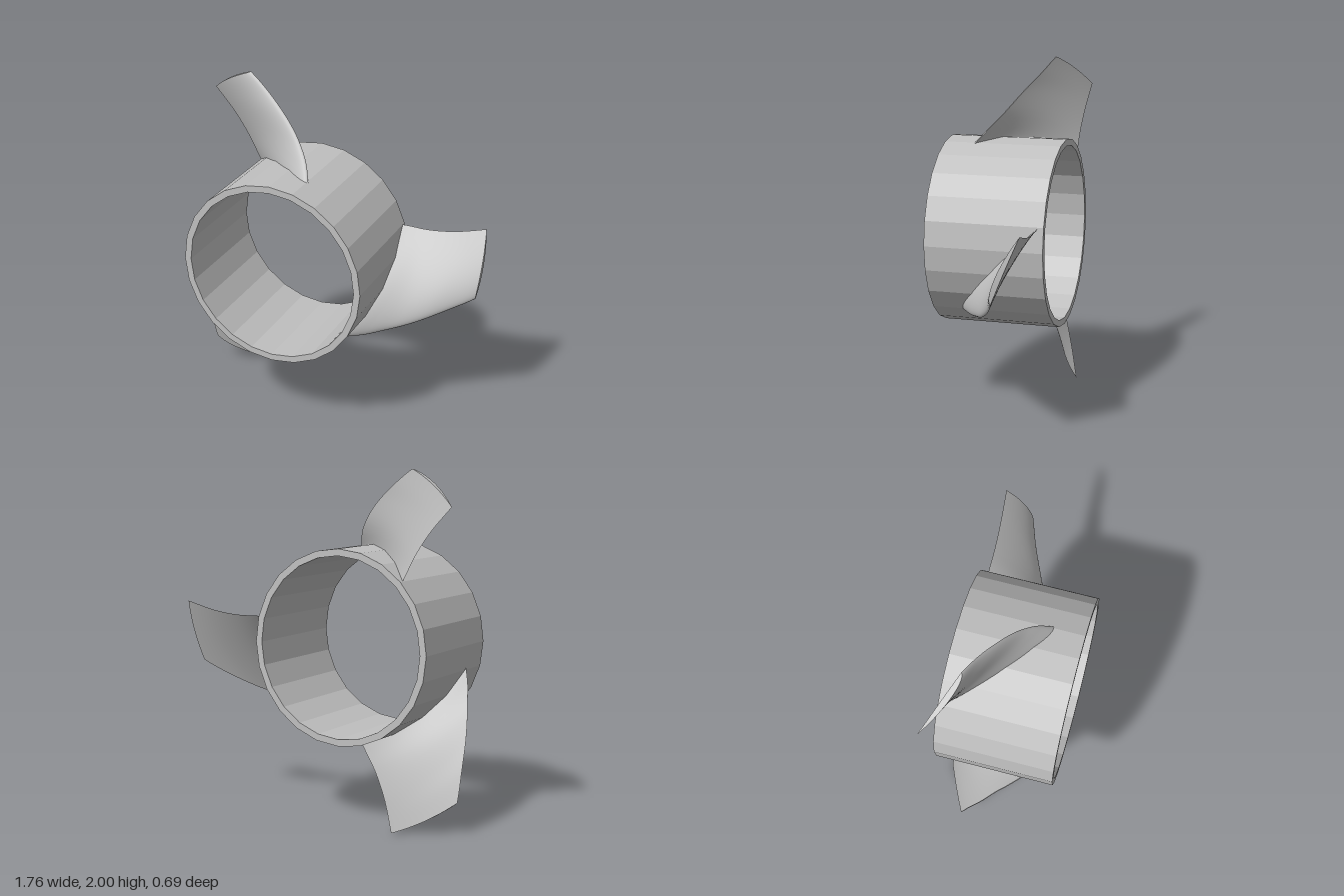
import * as THREE from 'three';
import { ParametricGeometry } from 'three/addons/geometries/ParametricGeometry.js';

const rad = THREE.MathUtils.degToRad;

// Blade edges as [radius, angle in degrees, z], from root to tip
const edge = (pts) => new THREE.CatmullRomCurve3(pts.map((p) => new THREE.Vector3(...p.map((n, i) => (i === 1 ? rad(n) : n)))));
const leading = edge([[0.53, -48.5, 0.185], [0.555, -46, 0.16], [0.629, -39.5, 0.085], [0.697, -33, 0.02], [0.844, -21.5, -0.08], [0.947, -15, -0.14], [1.062, -9.2, -0.19]]);
const trailing = edge([[0.53, 15.6, -0.318], [0.6, 13.8, -0.32], [0.699, 11.6, -0.322], [0.849, 10.5, -0.33], [1.062, 11.1, -0.345]]);

// Point on the blade: s runs root to tip, t leading to trailing, side 0 is the flat back, 1 the arched front
const a = new THREE.Vector3(), b = new THREE.Vector3();
function bladePoint(s, v, side, target) {
  const t = Math.pow(v, 1.5);
  leading.getPointAt(s, a);
  trailing.getPointAt(s, b);
  a.lerp(b, t);
  const arch = Math.pow(t, 0.6) * (1 - t) / 0.347;
  const thickness = THREE.MathUtils.lerp(0.058, 0.036, s);
  target.set(a.x * Math.cos(a.y), a.x * Math.sin(a.y), a.z + side * arch * thickness);
}

export function createModel() {
  const model = new THREE.Group();
  model.name = 'propeller';
  const metal = new THREE.MeshStandardMaterial({ color: 0xc0c0c0 });
  metal.name = 'grey metal';
  const ringMetal = metal;

  // Rotor turns about the ring axis, which lies off the model centre
  const rotor = new THREE.Group();
  rotor.name = 'rotor';
  rotor.position.set(-0.185, 1.01, 0);
  model.add(rotor);

  // Hollow 24-sided hub ring: a rectangular section swept round the axis
  const outer = 0.555, inner = 0.516, half = 0.346;
  const profile = [[inner, -half], [outer, -half], [outer, half], [inner, half], [inner, -half]];
  const ringGeometry = new THREE.LatheGeometry(profile.map((p) => new THREE.Vector2(...p)), 24)
    .toNonIndexed();
  ringGeometry.computeVertexNormals(); // flat facets
  ringGeometry.rotateX(Math.PI / 2);
  const ring = new THREE.Mesh(ringGeometry, ringMetal);
  ring.name = 'hubRing';
  rotor.add(ring);

  // Blade faces, shared by all three blades
  const surfaces = {
    bladeFront: new ParametricGeometry((u, v, p) => bladePoint(u, v, 1, p), 24, 20),
    bladeBack: new ParametricGeometry((u, v, p) => bladePoint(u, 1 - v, 0, p), 24, 20),
    bladeTip: new ParametricGeometry((u, v, p) => bladePoint(1, u, v, p), 20, 1),
  };
  surfaces.bladeTip.computeVertexNormals();

  for (let i = 0; i < 3; i++) {
    const blade = new THREE.Group();
    blade.name = 'blade' + (i + 1);
    blade.rotation.z = (i * Math.PI * 2) / 3;
    for (const [name, geometry] of Object.entries(surfaces)) {
      const mesh = new THREE.Mesh(geometry, metal);
      mesh.name = name;
      blade.add(mesh);
    }
    rotor.add(blade);
  }
  return model;
}
